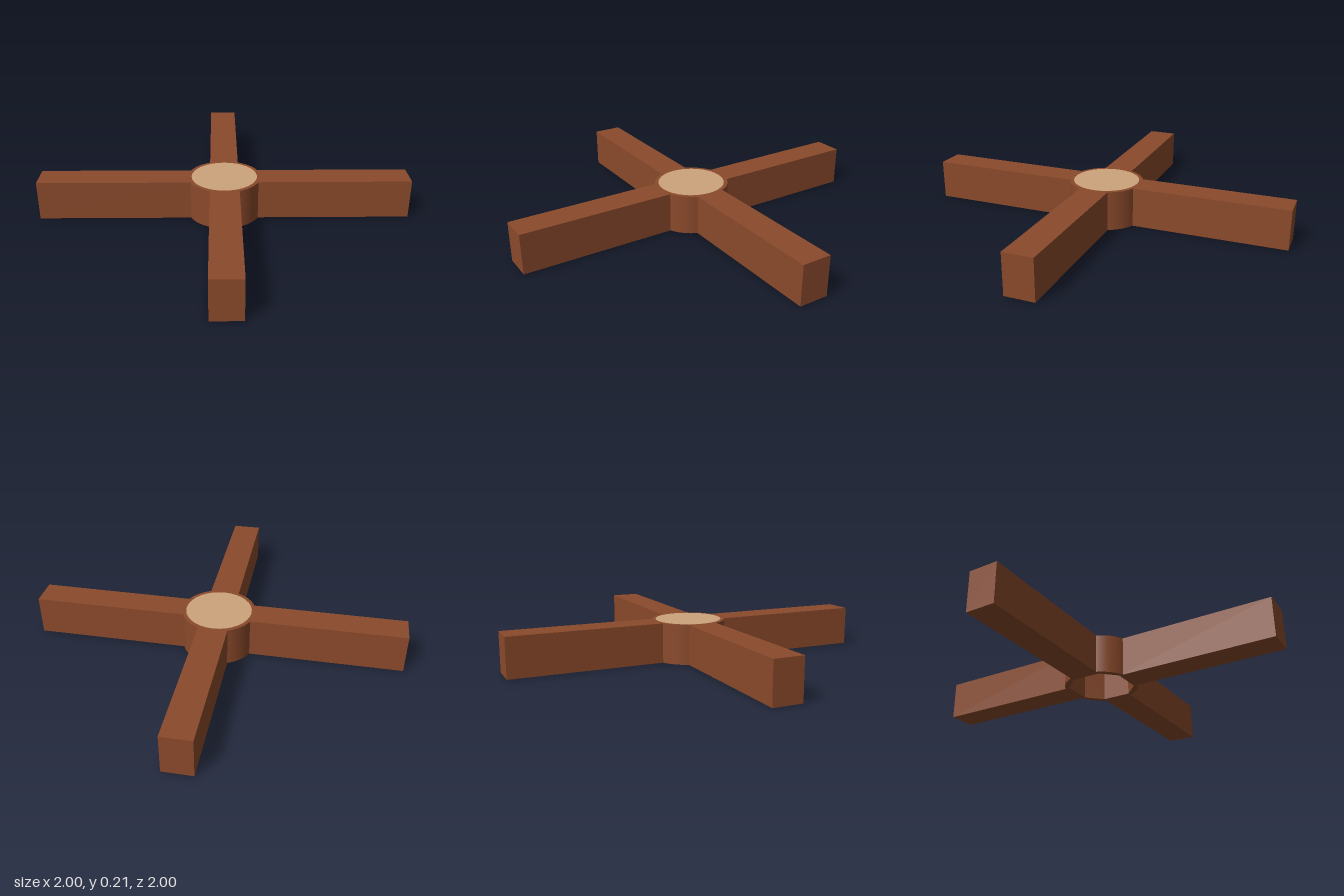
import * as THREE from 'three';

const HEIGHT = 0.212;
const HALF_WIDTH = 0.078; // half the width of an arm
const INNER = 0.157; // where the arms begin, inside the hollow hub
const HUB_RADIUS = 0.197;

export function createModel() {
  const model = new THREE.Group();
  const wood = new THREE.MeshStandardMaterial({ color: 0x8b4a2b });
  wood.name = 'brown wood';
  const paleWood = new THREE.MeshStandardMaterial({ color: 0xcda27c });
  paleWood.name = 'pale wood';

  const add = (parent, name, geometry, material) => {
    const mesh = new THREE.Mesh(geometry, material);
    mesh.name = name;
    parent.add(mesh);
    return mesh;
  };

  // Square beam, running out from the hub
  const armGeometry = new THREE.BoxGeometry(1 - INNER, HEIGHT, HALF_WIDTH * 2);
  armGeometry.translate((1 + INNER) / 2, HEIGHT / 2, 0);

  // Hub wall between two arms: round outside, flat inside
  const a = Math.asin(HALF_WIDTH / HUB_RADIUS);
  const shape = new THREE.Shape();
  shape.moveTo(INNER, HALF_WIDTH);
  shape.lineTo(HUB_RADIUS * Math.cos(a), HALF_WIDTH);
  shape.absarc(0, 0, HUB_RADIUS, a, Math.PI / 2 - a, false);
  shape.lineTo(HALF_WIDTH, INNER);
  shape.closePath();
  const wallGeometry = new THREE.ExtrudeGeometry(shape, {
    depth: HEIGHT, bevelEnabled: false, curveSegments: 16,
  });
  wallGeometry.rotateX(-Math.PI / 2);

  for (let i = 0; i < 4; i++) {
    const quarter = new THREE.Group();
    quarter.name = 'quarter' + (i + 1);
    quarter.rotation.y = (i * Math.PI) / 2;
    add(quarter, 'arm', armGeometry, wood);
    add(quarter, 'hubWall', wallGeometry, wood);
    model.add(quarter);
  }

  // Thin pale disc closing the top of the hub
  const cap = add(model, 'hubCap', new THREE.CylinderGeometry(0.177, 0.177, 0.006, 32), paleWood);
  cap.position.y = HEIGHT - 0.002;

  return model;
}
